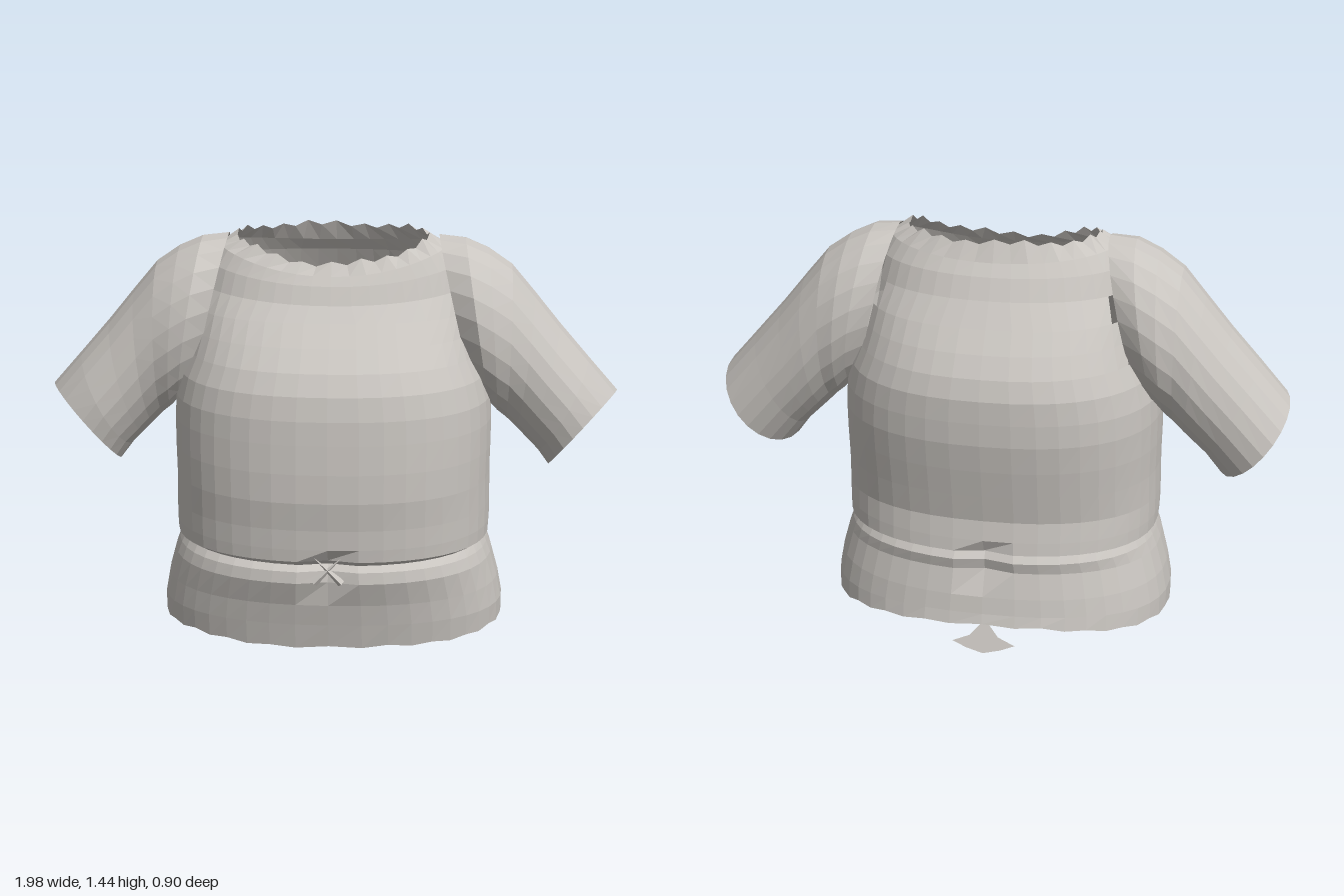
import * as THREE from 'three';

const fabric = new THREE.MeshStandardMaterial({ color: 0xc9c5c0, flatShading: true, side: THREE.DoubleSide });
fabric.name = 'light grey fabric';

// Joins closed rings of points into a skin; skip(centre) leaves openings
function loft(rings, flip = false, skip = () => false) {
  const n = rings[0].length, pos = [], idx = [];
  rings.forEach(r => r.forEach(p => pos.push(p.x, p.y, p.z)));
  for (let i = 0; i < rings.length - 1; i++) {
    for (let j = 0; j < n; j++) {
      const k = (j + 1) % n;
      const centre = rings[i][j].clone().add(rings[i][k]).add(rings[i + 1][j]).add(rings[i + 1][k]).multiplyScalar(0.25);
      if (skip(centre)) continue;
      const a = i * n + j, b = i * n + k, c = a + n, d = b + n;
      if (flip) idx.push(a, b, c, b, d, c);
      else idx.push(a, c, b, b, c, d);
    }
  }
  const g = new THREE.BufferGeometry();
  g.setAttribute('position', new THREE.Float32BufferAttribute(pos, 3));
  g.setIndex(idx);
  g.computeVertexNormals();
  return g;
}

function addMesh(group, name, geometry) {
  const m = new THREE.Mesh(geometry, fabric);
  m.name = name;
  group.add(m);
}

// height, half width, front z, back z, lift at front, lift at back
const SKIRT = [
  [0.07, 0.60, 0.36, 0.43, -0.02, 0.05],
  [0.14, 0.60, 0.38, 0.42, 0, 0.02],
  [0.22, 0.585, 0.40, 0.41, 0, 0],
  [0.31, 0.56, 0.435, 0.39, 0, 0],
  [0.35, 0.545, 0.43, 0.40, 0, 0],
  [0.385, 0.53, 0.40, 0.375, -0.01, 0]
];
const BODY = [
  [0.375, 0.53, 0.405, 0.375, -0.01, 0],
  [0.385, 0.548, 0.425, 0.405, 0, 0],
  [0.43, 0.55, 0.43, 0.40, 0, 0],
  [0.50, 0.55, 0.435, 0.39, 0, 0],
  [0.60, 0.548, 0.45, 0.41, 0, 0],
  [0.70, 0.55, 0.45, 0.43, 0, 0],
  [0.80, 0.55, 0.445, 0.447, 0, 0],
  [0.88, 0.545, 0.44, 0.45, 0, 0],
  [0.96, 0.525, 0.425, 0.45, 0, 0],
  [1.03, 0.495, 0.39, 0.43, 0, 0],
  [1.10, 0.475, 0.33, 0.39, 0, 0],
  [1.17, 0.46, 0.265, 0.34, 0, 0],
  [1.25, 0.445, 0.22, 0.285, -0.03, 0],
  [1.33, 0.425, 0.195, 0.25, -0.05, -0.01],
  [1.39, 0.39, 0.175, 0.22, -0.08, -0.03],
  [1.42, 0.33, 0.145, 0.19, -0.075, 0]
];

const SEGS = 44;
function bodyRing([y, w, zf, zb, lf, lb], pw, ragged = 0) {
  return Array.from({ length: SEGS }, (_, j) => {
    const a = (j / SEGS) * Math.PI * 2, c = Math.cos(a), s = Math.sin(a);
    const x = w * Math.sign(c) * Math.abs(c) ** (2 / pw);
    let z = (s > 0 ? zf : zb) * Math.sign(s) * Math.abs(s) ** (2 / pw);
    const lift = (s > 0 ? lf : lb) * s * s;
    // small pinch in the middle of the belly and the lower back
    if (y > 0.3 && y < 0.4 && Math.abs(x) < 0.05) z -= Math.sign(s) * 0.025;
    const rag = ragged * (j % 2 ? 1 : -0.6) * (0.6 + 0.4 * Math.sin(j * 2.3));
    return new THREE.Vector3(x, y + lift + rag, z);
  });
}

// Sleeve sections: top x, top y, bottom x, bottom y, front z, back z
const SLEEVE = [
  [0.36, 1.42, 0.49, 0.87, 0.16, -0.21],
  [0.45, 1.41, 0.54, 0.84, 0.205, -0.245],
  [0.53, 1.375, 0.57, 0.805, 0.20, -0.25],
  [0.61, 1.32, 0.60, 0.78, 0.185, -0.24],
  [0.69, 1.225, 0.635, 0.745, 0.175, -0.235],
  [0.78, 1.115, 0.67, 0.71, 0.175, -0.225],
  [0.88, 1.00, 0.71, 0.67, 0.18, -0.215],
  [0.985, 0.88, 0.755, 0.61, 0.175, -0.205]
];

function sleeveRing([tx, ty, bx, by, zf, zb], side, cuff) {
  const n = 22;
  return Array.from({ length: n }, (_, j) => {
    const a = (j / n) * Math.PI * 2, c = Math.cos(a), s = Math.sin(a);
    const slant = cuff ? 0.03 * s : 0;
    return new THREE.Vector3(
      side * ((tx + bx) / 2 + (tx - bx) / 2 * c - slant),
      (ty + by) / 2 + (ty - by) / 2 * c + slant,
      (zf + zb) / 2 + (zf - zb) / 2 * s);
  });
}

export function createModel() {
  const shirt = new THREE.Group();
  shirt.name = 'shirt';

  // Trunk with armholes and a ragged neckline
  const armhole = p => Math.abs(p.x) > 0.4 && p.y > 0.92 && p.y < 1.36 && p.z > -0.17 && p.z < 0.12;
  const last = BODY.length - 1;
  addMesh(shirt, 'trunk', loft(BODY.map((r, i) => bodyRing(r, i > 11 ? 2.1 : 2.35, i === last ? 0.016 : 0)), false, armhole));

  // Loose lower band with a slightly wavy hem
  addMesh(shirt, 'lowerBand', loft(SKIRT.map((r, i) => bodyRing(r, 2.35, i === 0 ? 0.008 : 0))));

  // Short sleeves, open at the cuffs
  for (const side of [1, -1]) {
    const rings = SLEEVE.map((r, i) => sleeveRing(r, side, i === SLEEVE.length - 1));
    addMesh(shirt, side > 0 ? 'leftSleeve' : 'rightSleeve', loft(rings, side < 0));
  }

  // Crossed gathers at the middle of the belly
  for (const tilt of [-1, 1]) {
    const fold = new THREE.ConeGeometry(0.014, 0.13, 4);
    fold.rotateZ(tilt * 0.8);
    fold.translate(0, 0.355, 0.418);
    addMesh(shirt, 'bellyGather', fold);
  }

  // Loose scrap hanging at the middle of the back hem
  const scrap = new THREE.Shape([[-0.11, 0.035], [-0.06, 0.015], [0, 0], [0.06, 0.015], [0.11, 0.035], [0.05, 0.06], [0, 0.12], [-0.05, 0.06]]
    .map(([x, y]) => new THREE.Vector2(x, y)));
  const tab = new THREE.ShapeGeometry(scrap);
  tab.rotateX(0.35);
  const box = new THREE.Box3().setFromBufferAttribute(tab.attributes.position);
  tab.translate(0, -box.min.y, -0.41);
  addMesh(shirt, 'backScrap', tab);

  return shirt;
}
